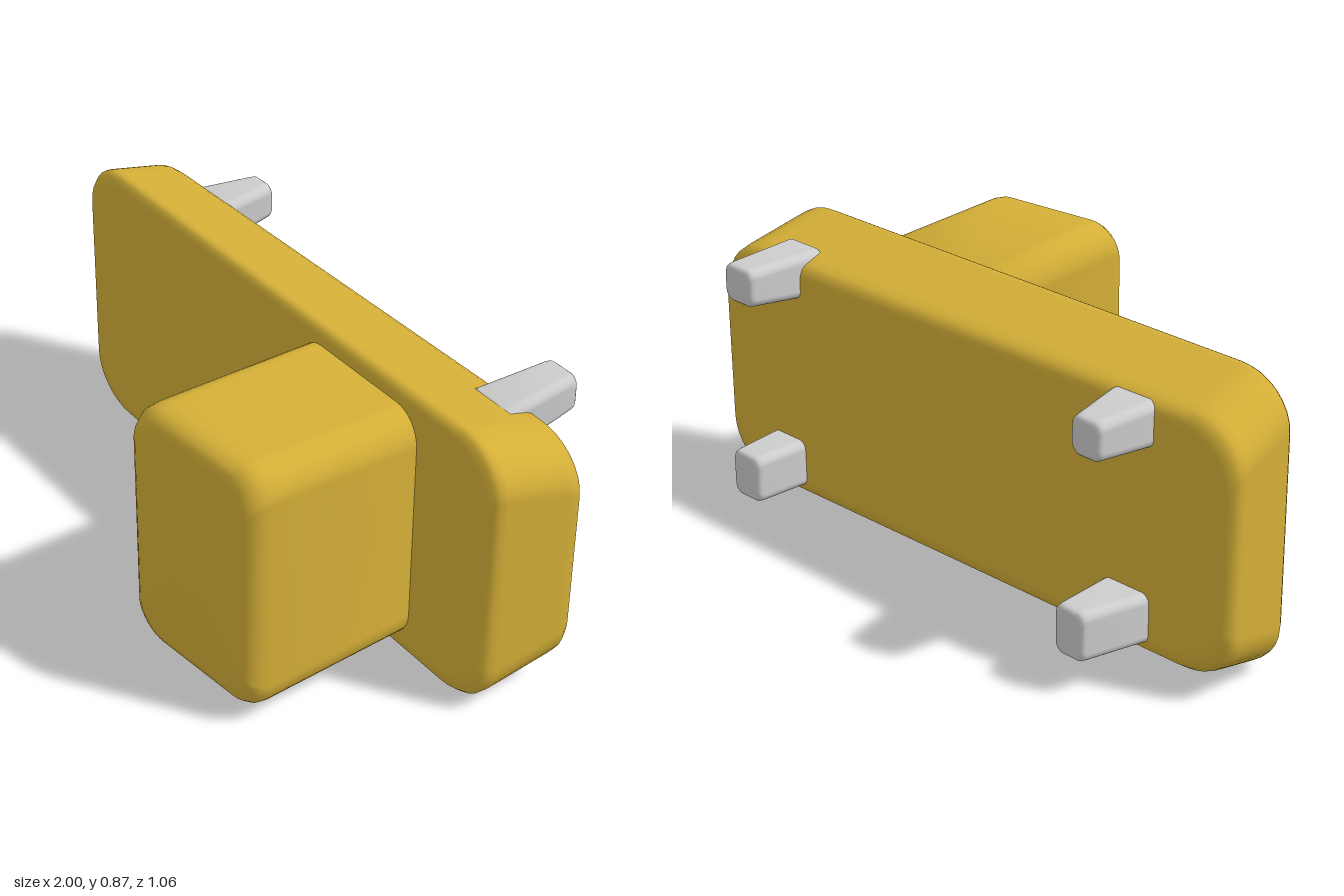
import * as THREE from 'three';

const CORNER = 8; // segments per rounded corner

// Lofts rounded rectangles [z, x0, x1, y0, y1] from front to back.
// rx, ry: corner radii; warp(p): optional rule that shifts each point.
function loft(rings, rx, ry, warp = () => {}) {
  const pos = [], index = [], p = new THREE.Vector3();
  const n = 4 * (CORNER + 1);
  const add = (x, y, z) => {
    p.set(x, y, z);
    warp(p);
    pos.push(p.x, p.y, p.z);
  };
  for (const [z, x0, x1, y0, y1] of rings) {
    for (let c = 0; c < 4; c++) {
      const right = c === 0 || c === 3, top = c < 2;
      const cx = right ? x1 - rx : x0 + rx;
      const cy = top ? y1 - ry : y0 + ry;
      for (let k = 0; k <= CORNER; k++) {
        const a = (c + k / CORNER) * Math.PI / 2;
        add(cx + rx * Math.cos(a), cy + ry * Math.sin(a), z);
      }
    }
  }
  const last = rings.length - 1;
  for (const i of [0, last]) {
    const [z, x0, x1, y0, y1] = rings[i];
    add((x0 + x1) / 2, (y0 + y1) / 2, z);
  }
  const front = rings.length * n, back = front + 1;
  for (let j = 0; j < n; j++) {
    const k = (j + 1) % n;
    for (let i = 0; i < last; i++) {
      const a = i * n + j, b = i * n + k;
      index.push(a, a + n, b + n, a, b + n, b);
    }
    index.push(front, j, k, back, last * n + k, last * n + j);
  }
  const g = new THREE.BufferGeometry();
  g.setAttribute('position', new THREE.Float32BufferAttribute(pos, 3));
  g.setIndex(index);
  g.computeVertexNormals();
  return g;
}

export function createModel() {
  const group = new THREE.Group();
  const gold = new THREE.MeshStandardMaterial({ color: 0xd4af37 });
  const grey = new THREE.MeshStandardMaterial({ color: 0xcccccc });
  const part = (name, geometry, material) => {
    const mesh = new THREE.Mesh(geometry, material);
    mesh.name = name;
    group.add(mesh);
  };

  // Wide slab, narrowing in height towards a slightly slanted back
  part('slab', loft([
    [-0.068, -0.93, 0.93, 0.045, 0.825],
    [-0.069, -0.945, 0.945, 0.03, 0.84],
    [-0.075, -0.965, 0.965, 0.01, 0.858],
    [-0.09, -0.975, 0.975, 0.0, 0.866],
    [-0.11, -0.98, 0.98, 0.004, 0.862],
    [-0.29, -0.996, 0.996, 0.048, 0.813],
    [-0.315, -0.998, 0.998, 0.056, 0.804],
    [-0.333, -0.988, 0.988, 0.068, 0.792],
    [-0.341, -0.97, 0.97, 0.088, 0.772],
    [-0.343, -0.95, 0.95, 0.108, 0.752],
  ], 0.17, 0.15, (p) => {
    const t = THREE.MathUtils.clamp((-0.09 - p.z) / 0.24, 0, 1);
    p.z -= 0.018 * p.x * t;
    p.y -= 0.004 * p.x * t;
  }), gold);

  // Deep block on the front, with a slanted, slightly domed face
  part('frontBlock', loft([
    [0.508, 0.21, 0.62, 0.095, 0.775],
    [0.506, 0.195, 0.635, 0.075, 0.795],
    [0.498, 0.177, 0.653, 0.055, 0.815],
    [0.475, 0.166, 0.664, 0.042, 0.829],
    [0.44, 0.163, 0.666, 0.038, 0.832],
    [0.38, 0.161, 0.664, 0.038, 0.831],
    [-0.12, 0.138, 0.654, 0.05, 0.81],
  ], 0.09, 0.1, (p) => {
    const t = THREE.MathUtils.clamp((p.z - 0.3) / 0.18, 0, 1);
    p.z -= t * (0.1 * (p.x - 0.41) + 0.02 * ((p.y - 0.435) / 0.36) ** 2);
  }), gold);

  // Four tapered feet on the back: base and tip rectangles, tip depth
  const feet = [
    ['upperLeftFoot', [0.635, 0.795, 0.685, 0.828], [0.643, 0.768, 0.712, 0.828], -0.528],
    ['lowerLeftFoot', [0.645, 0.805, 0.085, 0.235], [0.65, 0.772, 0.087, 0.235], -0.532],
    ['upperRightFoot', [-0.735, -0.555, 0.665, 0.8], [-0.707, -0.6, 0.675, 0.79], -0.505],
    ['lowerRightFoot', [-0.735, -0.55, 0.09, 0.24], [-0.687, -0.577, 0.1, 0.25], -0.538],
  ];
  for (const [name, base, tip, z] of feet) {
    const inset = (d) => [tip[0] + d, tip[1] - d, tip[2] + d, tip[3] - d];
    part(name, loft([
      [-0.27, ...base],
      [z + 0.02, ...tip],
      [z + 0.008, ...inset(0.002)],
      [z + 0.002, ...inset(0.007)],
      [z, ...inset(0.015)],
    ], 0.028, 0.028), grey);
  }
  return group;
}
